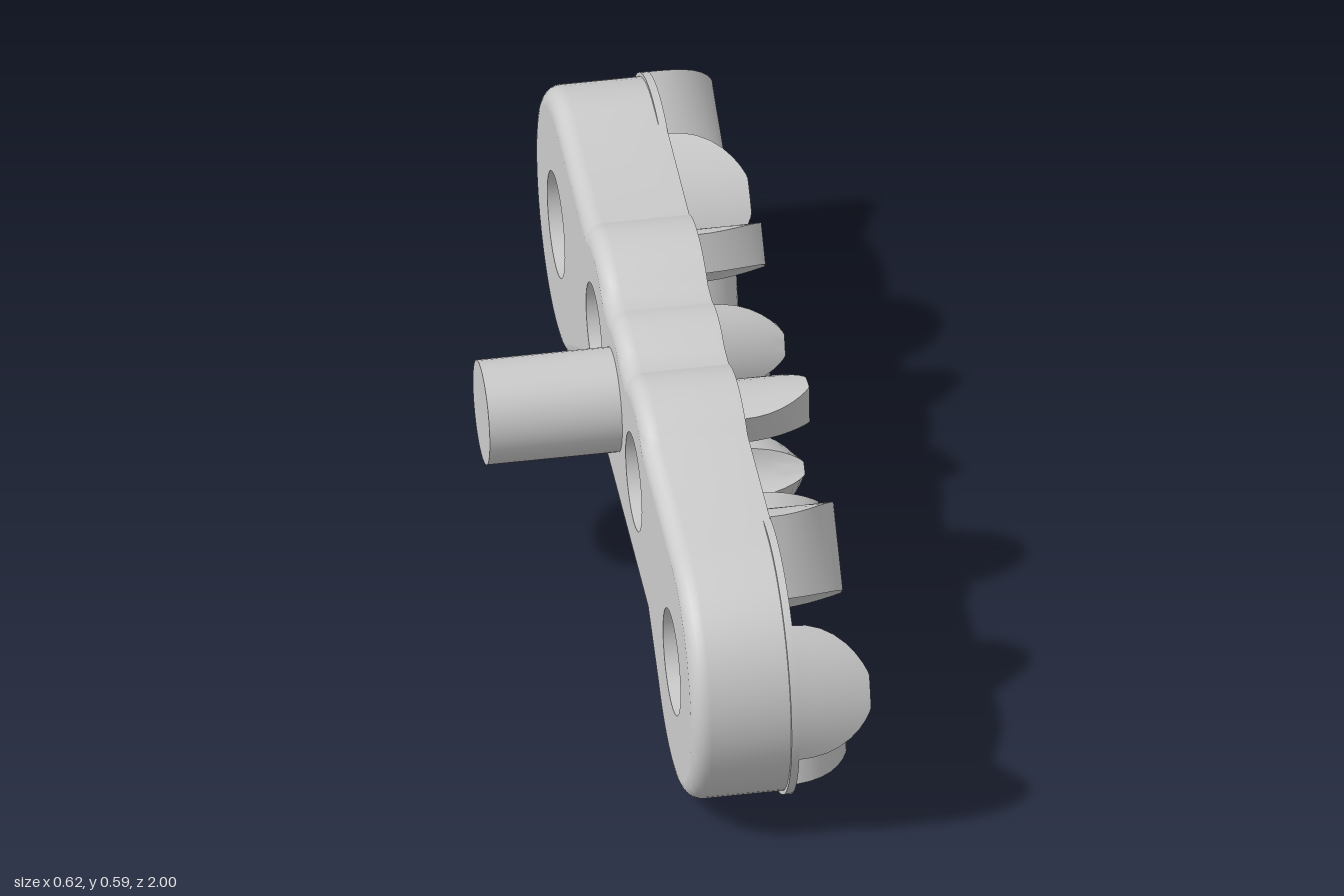
import * as THREE from 'three';
import { mergeGeometries, toCreasedNormals } from 'three/addons/utils/BufferGeometryUtils.js';

const BACK = -0.045, FACE = 0.165, TIP = 0.31;
const material = new THREE.MeshStandardMaterial({ color: 0xcccccc, side: THREE.DoubleSide });
const rad = THREE.MathUtils.degToRad;

// Hubs in profile coordinates (u = -z, v = y); turn is the angle of the first tooth
const hubs = [
  { name: 'leftEnd', u: -0.716, v: 0.284, hole: 0.108, outer: 0.284, turn: 42, collar: true },
  { name: 'leftInner', u: -0.245, v: 0.375, hole: 0.1, outer: 0.183, turn: 78 },
  { name: 'rightInner', u: 0.245, v: 0.375, hole: 0.1, outer: 0.183, turn: 42 },
  { name: 'rightEnd', u: 0.716, v: 0.284, hole: 0.108, outer: 0.284, turn: 18, collar: true },
];

function arc(u, v, r, a0, a1, n) {
  return Array.from({ length: n + 1 }, (_, i) => {
    const a = rad(a0 + (a1 - a0) * i / n);
    return new THREE.Vector2(u + r * Math.cos(a), v + r * Math.sin(a));
  });
}

// Skin through counter-clockwise loops stacked along the local z axis
function sweep(layers) {
  const n = layers[0].loop.length, pos = [], idx = [];
  layers.forEach(({ loop, z }) => loop.forEach(p => pos.push(p.x, p.y, z)));
  for (let k = 0; k < layers.length - 1; k++) {
    for (let i = 0; i < n; i++) {
      const j = (i + 1) % n, a = k * n + i, b = k * n + j;
      idx.push(a, b, b + n, a, b + n, a + n);
    }
  }
  const g = new THREE.BufferGeometry();
  g.setAttribute('position', new THREE.Float32BufferAttribute(pos, 3));
  g.setIndex(idx);
  return toCreasedNormals(g, 0.6);
}

// Flat end face, optionally pierced and turned to face backwards
function cap(loop, z, holes = [], flip = false) {
  const shape = new THREE.Shape(loop);
  holes.forEach(h => shape.holes.push(new THREE.Path(arc(h.u, h.v, h.hole, 360, 0, 40).slice(0, -1))));
  const g = new THREE.ShapeGeometry(shape).translate(0, 0, z);
  g.deleteAttribute('uv');
  if (flip) {
    g.index.array.reverse();
    g.attributes.normal.array.fill(0);
    for (let i = 0; i < g.attributes.normal.count; i++) g.attributes.normal.setZ(i, -1);
  }
  return g.toNonIndexed();
}

function inset(loop, d) {
  const n = loop.length;
  return loop.map((p, i) => {
    const e1 = p.clone().sub(loop[(i + n - 1) % n]).normalize();
    const e2 = loop[(i + 1) % n].clone().sub(p).normalize();
    const m = new THREE.Vector2(-e1.y - e2.y, e1.x + e2.x);
    return p.clone().addScaledVector(m, d / (1 + e1.dot(e2)));
  });
}

// Link outline: right half counter-clockwise, then its mirror
function plateOutline() {
  const half = [
    new THREE.Vector2(0.41, 0.165),
    ...arc(0.716, 0.284, 0.276, -133, 90, 40),
    ...arc(0.245, 0.375, 0.215, 57, 123, 12),
    ...arc(0, 0.395, 0.177, 65, 90, 5),
  ];
  const mirror = half.slice(0, -1).reverse().map(p => new THREE.Vector2(-p.x, p.y));
  return [...half, ...mirror];
}

function plateGeometry() {
  const outline = plateOutline(), r = 0.036;
  const layers = [];
  for (let i = 0; i <= 6; i++) {
    const a = i / 6 * Math.PI / 2;
    layers.push({ loop: inset(outline, r * (1 - Math.sin(a))), z: BACK + r * (1 - Math.cos(a)) });
  }
  layers.push({ loop: outline, z: FACE });
  return mergeGeometries([sweep(layers), cap(layers[0].loop, BACK, hubs, true), cap(outline, FACE, hubs)]);
}

// Clutch tooth: ring sector whose flanks curve in towards the tip
function toothGeometry(inner, outer) {
  const base = 30, tip = 7, layers = [];
  for (let k = 0; k <= 8; k++) {
    const t = Math.sin(k / 8 * Math.PI / 2);
    const half = tip + (base - tip) * Math.pow(1 - Math.pow(t, 2.2), 0.8);
    layers.push({
      loop: [...arc(0, 0, outer, -half, half, 8), ...arc(0, 0, inner, half, -half, 8)],
      z: FACE + (TIP - FACE) * t,
    });
  }
  return mergeGeometries([sweep(layers), cap(layers[8].loop, TIP)]);
}

export function createModel() {
  const model = new THREE.Group();
  model.name = 'toothedLink';
  const body = new THREE.Group();
  body.name = 'linkBody';
  body.rotation.y = Math.PI / 2; // profile u -> -z, depth -> +x
  model.add(body);

  const add = (geometry, name, parent = body) => {
    const mesh = new THREE.Mesh(geometry, material);
    mesh.name = name;
    parent.add(mesh);
    return mesh;
  };

  add(plateGeometry(), 'plate');

  for (const h of hubs) {
    const hub = new THREE.Group();
    hub.name = h.name + 'Hub';
    hub.position.set(h.u, h.v, 0);
    body.add(hub);

    // Bore wall
    const bore = new THREE.CylinderGeometry(h.hole, h.hole, FACE - BACK, 40, 1, true);
    bore.rotateX(Math.PI / 2).translate(0, 0, (FACE + BACK) / 2);
    add(bore, 'bore', hub);

    // Raised rim round the end hubs
    if (h.collar) {
      const ring = new THREE.Shape().absarc(0, 0, h.outer, 0, Math.PI * 2);
      ring.holes.push(new THREE.Path().absarc(0, 0, h.hole, 0, Math.PI * 2, true));
      const collar = new THREE.ExtrudeGeometry(ring, { depth: 0.016, bevelEnabled: false, curveSegments: 40 });
      add(toCreasedNormals(collar.translate(0, 0, 0.15), 0.6), 'collar', hub);
    }

    // Three clutch teeth
    const tooth = toothGeometry(h.hole, h.outer);
    for (let i = 0; i < 3; i++) add(tooth, 'tooth', hub).rotation.z = rad(h.turn + i * 120);
  }

  // Pin on the back
  const pin = new THREE.CylinderGeometry(0.105, 0.105, 0.282, 40);
  pin.rotateX(Math.PI / 2).translate(0, 0, -0.17);
  add(pin, 'pin').position.y = 0.394;

  return model;
}
